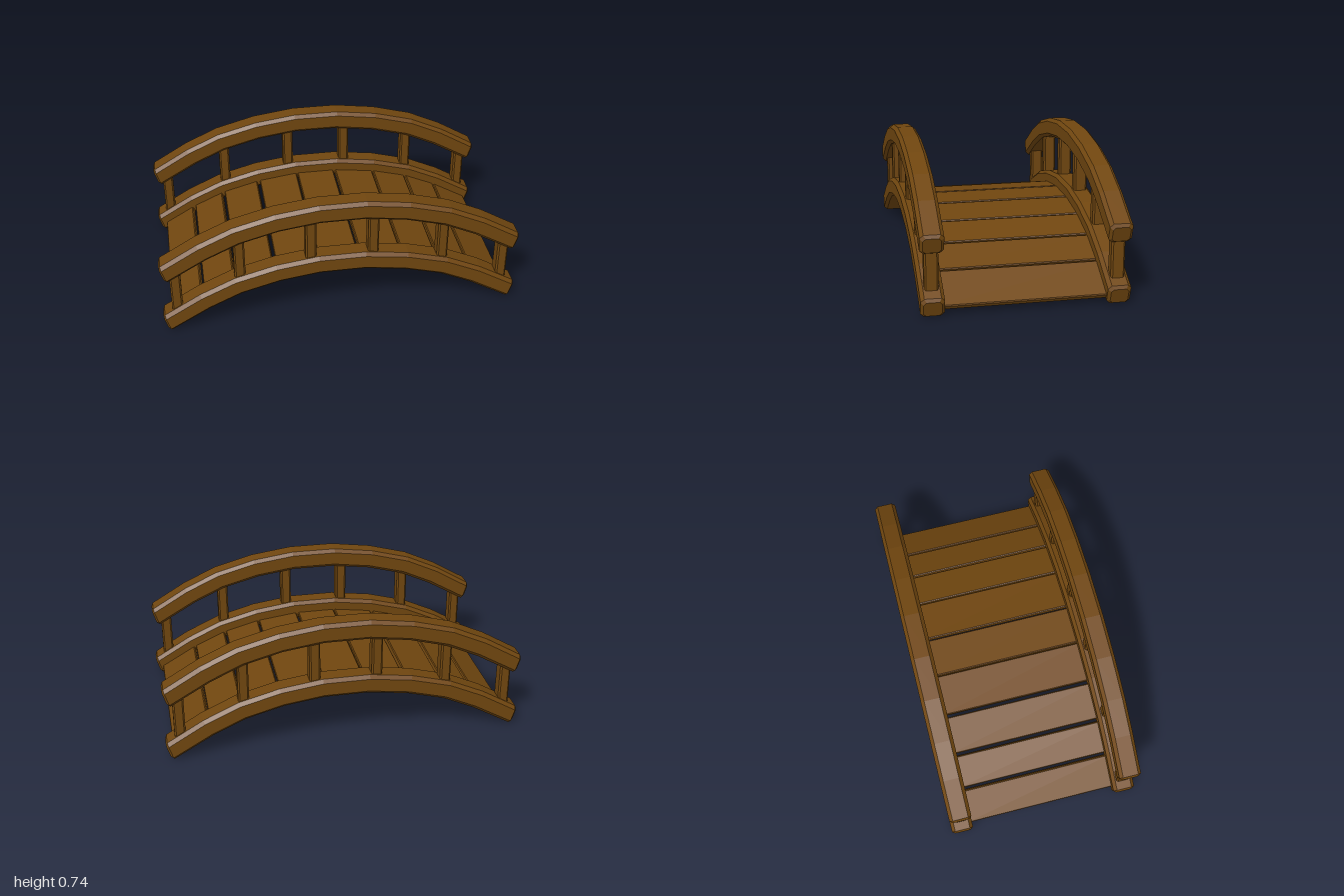
import * as THREE from 'three';

const RAIL_Z = 0.4875;
const RAIL_RISE = 0.335;

// Half of the arch centre line, from the end to the middle.
const HALF = [[-0.975, 0.057], [-0.765, 0.18], [-0.58, 0.265], [-0.358, 0.325], [-0.127, 0.357]];
const ARCH = [...HALF, ...HALF.map(([x, y]) => [-x, y]).reverse()];

// Height of the arch centre line at x.
function archY(x) {
  let i = 0;
  while (i < ARCH.length - 2 && x > ARCH[i + 1][0]) i++;
  const [a, b] = [ARCH[i], ARCH[i + 1]];
  return a[1] + (b[1] - a[1]) * (x - a[0]) / (b[0] - a[0]);
}

// Corners of a rectangle with cut corners.
function octagon(w, h, c) {
  const a = w / 2, b = h / 2;
  return [[a, b - c], [a - c, b], [c - a, b], [-a, b - c], [-a, c - b], [c - a, -b], [a - c, -b], [a, c - b]];
}

// Straight chamfered bar along z, centred.
function bar(w, h, length, chamfer) {
  const shape = new THREE.Shape(octagon(w, h, chamfer).map(([x, y]) => new THREE.Vector2(x, y)));
  const geometry = new THREE.ExtrudeGeometry(shape, { depth: length, bevelEnabled: false });
  return geometry.translate(0, 0, -length / 2);
}

// Curved chamfered beam: cross-sections set square to the arch, with bevelled ends.
function beamGeometry() {
  const section = octagon(0.125, 0.112, 0.019);
  const ring = (x, y, nx, ny, s) => section.map(([z, n]) => [x + nx * n * s, y + ny * n * s, -z * s]);
  const last = ARCH.length - 1;
  const rings = ARCH.map(([x, y], i) => {
    if (i === 0) return ring(x, y, -0.3, 0.95, 1);
    if (i === last) return ring(x, y, 0.3, 0.95, 1);
    const dx = ARCH[i + 1][0] - ARCH[i - 1][0], dy = ARCH[i + 1][1] - ARCH[i - 1][1];
    const l = Math.hypot(dx, dy);
    return ring(x, y, -dy / l, dx / l, 1);
  });
  rings.unshift(ring(-0.987, 0.051, -0.3, 0.95, 0.76));
  rings.push(ring(0.987, 0.051, 0.3, 0.95, 0.76));

  const pos = [];
  const tri = (a, b, c) => pos.push(...a, ...b, ...c);
  for (let i = 0; i < rings.length - 1; i++) {
    const a = rings[i], b = rings[i + 1];
    for (let j = 0; j < 8; j++) {
      const k = (j + 1) % 8;
      tri(a[j], a[k], b[j]);
      tri(a[k], b[k], b[j]);
    }
  }
  const first = rings[0], end = rings[rings.length - 1];
  for (let j = 1; j < 7; j++) {
    tri(first[0], first[j + 1], first[j]);
    tri(end[0], end[j], end[j + 1]);
  }
  const geometry = new THREE.BufferGeometry();
  geometry.setAttribute('position', new THREE.Float32BufferAttribute(pos, 3));
  geometry.computeVertexNormals();
  return geometry;
}

export function createModel() {
  const wood = new THREE.MeshStandardMaterial({ color: 0x70460f, flatShading: true });
  wood.name = 'brown wood';
  const model = new THREE.Group();
  model.name = 'footbridge';
  const add = (parent, name, geometry, x, y, z) => {
    const mesh = new THREE.Mesh(geometry, wood);
    mesh.name = name;
    mesh.position.set(x, y, z);
    parent.add(mesh);
    return mesh;
  };

  // Both sides: lower beam, handrail and six posts.
  const beam = beamGeometry();
  const post = bar(0.06, 0.074, RAIL_RISE - 0.04, 0.009).rotateX(-Math.PI / 2);
  for (const [name, z] of [['frontSide', RAIL_Z], ['backSide', -RAIL_Z]]) {
    const side = new THREE.Group();
    side.name = name;
    add(side, 'lowerBeam', beam, 0, 0, z);
    add(side, 'handrail', beam, 0, RAIL_RISE, z);
    for (const x of [-0.918, -0.565, -0.173, 0.173, 0.565, 0.918]) {
      add(side, 'post', post, x, archY(x) + RAIL_RISE / 2, z);
    }
    model.add(side);
  }

  // Deck planks of uneven width, tilted along the arch.
  const planks = [
    [-0.945, -0.775], [-0.76, -0.59], [-0.575, -0.37], [-0.355, -0.125], [-0.12, 0.104],
    [0.115, 0.35], [0.356, 0.556], [0.565, 0.745], [0.753, 0.955],
  ];
  const deck = new THREE.Group();
  deck.name = 'deck';
  for (const [x0, x1] of planks) {
    const y0 = archY(x0), y1 = archY(x1);
    const plank = add(deck, 'plank', bar(Math.hypot(x1 - x0, y1 - y0), 0.03, 0.9, 0.005),
      (x0 + x1) / 2, (y0 + y1) / 2 - 0.027, 0);
    plank.rotation.z = Math.atan2(y1 - y0, x1 - x0);
  }
  model.add(deck);
  return model;
}
